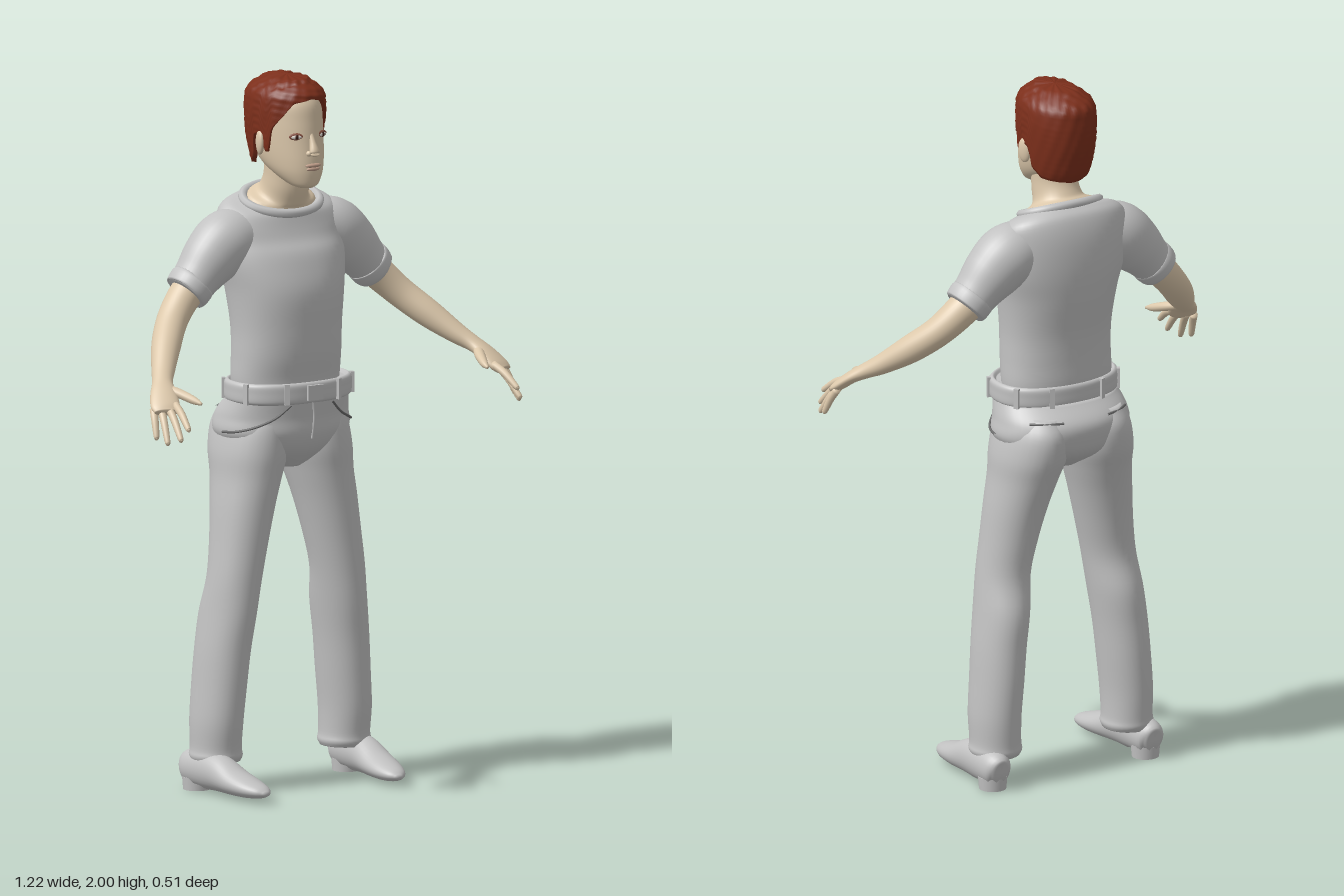
import * as THREE from 'three';

const V = (x, y, z) => new THREE.Vector3(x, y, z);
const paint = (name, color) => {
  const m = new THREE.MeshStandardMaterial({ color });
  m.name = name;
  return m;
};

// Closed-ring surface: f(i, angle) gives the vertex of row i
function grid(rows, cols, f) {
  const pos = [], idx = [];
  for (let i = 0; i <= rows; i++)
    for (let j = 0; j < cols; j++) {
      const p = f(i, (j / cols) * Math.PI * 2);
      pos.push(p.x, p.y, p.z);
      if (i === rows) continue;
      const a = i * cols + j, b = i * cols + (j + 1) % cols;
      idx.push(a, b, a + cols, b, b + cols, a + cols);
    }
  const g = new THREE.BufferGeometry();
  g.setAttribute('position', new THREE.Float32BufferAttribute(pos, 3));
  g.setIndex(idx);
  g.computeVertexNormals();
  return g;
}

const curve = (list) => new THREE.CatmullRomCurve3(list, false, 'catmullrom', 0.5);

// Horizontal sections [y, centre x, centre z, radius x, radius z], bottom to top
function sections(list, power = 2) {
  const c = curve(list.map((s) => V(s[1], s[0], s[2])));
  const r = curve(list.map((s) => V(s[3], s[4], 0)));
  const e = (t) => Math.sign(t) * Math.abs(t) ** (2 / power);
  return (u, a, k = 1) => {
    const p = c.getPoint(u), q = r.getPoint(u);
    return V(p.x + k * q.x * e(Math.sin(a)), p.y, p.z + k * q.y * e(Math.cos(a)));
  };
}

// Limb sections [x, y, z, width radius, height radius] along a path
function limb(list) {
  const c = curve(list.map((s) => V(s[0], s[1], s[2])));
  const r = curve(list.map((s) => V(s[3], s[4], 0)));
  return (u, a, k = 1) => {
    const t = c.getTangent(u), q = r.getPoint(u);
    const n = V(0, 1, 0).cross(t).normalize(), b = t.clone().cross(n);
    return c.getPoint(u).addScaledVector(n, k * q.x * Math.cos(a)).addScaledVector(b, k * q.y * Math.sin(a));
  };
}

// Capped skin over a section function
function skinOver(surf, n = 32, cols = 32, deform = (p) => p) {
  return grid(n + 2, cols, (i, a) =>
    deform(surf(Math.min(Math.max((i - 1) / n, 0), 1), a, i === 0 || i === n + 2 ? 0 : 1)));
}

// The neckline dips towards the front
const dip = (p) => {
  p.y -= THREE.MathUtils.smoothstep(p.y, 1.5, 1.62) * (p.z + 0.1) * 0.4;
  return p;
};

export function createModel() {
  const model = new THREE.Group();
  model.name = 'standingPerson';
  const cloth = paint('grey cloth', 0xc2c2c2), seamMat = paint('seam grey', 0x6c6c6c);
  const skin = paint('skin', 0xdcc8ab), hairMat = paint('red brown hair', 0x7c2f1b);
  const lidMat = paint('eyelid brown', 0x8a5444), white = paint('eye white', 0xe6e0d8);
  const iris = paint('iris', 0x3a1a14), lipMat = paint('lips', 0xbd9c88);

  const add = (name, geo, mat) => {
    const m = new THREE.Mesh(geo, mat);
    m.name = name;
    model.add(m);
  };
  const pair = (name, geo, mat) => {
    add(name + 'Left', geo, mat);
    const g = geo.clone().scale(-1, 1, 1), ix = g.index;
    for (let i = 0; i < ix.count; i += 3) {
      const t = ix.getX(i);
      ix.setX(i, ix.getX(i + 1));
      ix.setX(i + 1, t);
    }
    add(name + 'Right', g, mat);
  };
  const blob = (x, y, z, rx, ry, rz, ry0 = 0) =>
    new THREE.SphereGeometry(1, 20, 14).scale(rx, ry, rz).rotateY(ry0).translate(x, y, z);
  const tube = (pts, r, closed = false) =>
    new THREE.TubeGeometry(new THREE.CatmullRomCurve3(pts, closed), closed ? 64 : 16, r, 8, closed);

  // Shirt
  add('shirtBody', skinOver(sections([
    [1.1, 0, -0.075, 0.155, 0.105], [1.15, 0, -0.08, 0.163, 0.11], [1.22, 0, -0.075, 0.162, 0.118],
    [1.3, 0, -0.075, 0.162, 0.125], [1.4, 0, -0.083, 0.172, 0.137], [1.48, 0, -0.098, 0.188, 0.132],
    [1.55, 0, -0.112, 0.192, 0.117], [1.6, 0, -0.112, 0.19, 0.1], [1.63, 0, -0.106, 0.165, 0.083],
    [1.645, 0, -0.1, 0.122, 0.072]], 2.2), 48, 48, dip), cloth);
  const collar = [];
  for (let i = 0; i < 16; i++) {
    const a = (i / 16) * Math.PI * 2;
    collar.push(dip(V(0.118 * Math.sin(a), 1.645, -0.1 + 0.076 * Math.cos(a))));
  }
  add('collar', tube(collar, 0.013, true), cloth);
  pair('sleeve', skinOver(limb([
    [0.11, 1.555, -0.112, 0.075, 0.075], [0.175, 1.54, -0.112, 0.085, 0.088], [0.23, 1.497, -0.11, 0.078, 0.082],
    [0.275, 1.452, -0.108, 0.068, 0.067], [0.312, 1.412, -0.106, 0.063, 0.059]])), cloth);
  pair('sleeveCuff', skinOver(limb([
    [0.29, 1.438, -0.107, 0.064, 0.061], [0.294, 1.434, -0.107, 0.069, 0.065],
    [0.311, 1.414, -0.106, 0.067, 0.063], [0.316, 1.409, -0.106, 0.06, 0.056]]), 10), cloth);

  // Trousers
  const pelvis = sections([
    [0.9, 0, -0.09, 0.04, 0.06], [0.95, 0, -0.1, 0.15, 0.122], [1.0, 0, -0.1, 0.2, 0.146],
    [1.05, 0, -0.098, 0.196, 0.148], [1.1, 0, -0.07, 0.182, 0.128]], 2.15);
  add('trouserSeat', skinOver(pelvis, 32, 48), cloth);
  pair('trouserLeg', skinOver(sections([
    [0.085, 0.215, -0.105, 0.067, 0.071], [0.1, 0.215, -0.105, 0.073, 0.079], [0.125, 0.215, -0.105, 0.069, 0.079],
    [0.2, 0.215, -0.102, 0.07, 0.086], [0.3, 0.207, -0.1, 0.071, 0.09], [0.4, 0.198, -0.096, 0.072, 0.092],
    [0.5, 0.185, -0.09, 0.073, 0.095], [0.6, 0.172, -0.077, 0.074, 0.085], [0.7, 0.155, -0.08, 0.079, 0.09],
    [0.8, 0.137, -0.088, 0.086, 0.102], [0.88, 0.12, -0.097, 0.092, 0.117], [0.95, 0.108, -0.105, 0.099, 0.134],
    [1.02, 0.1, -0.108, 0.09, 0.138], [1.07, 0.095, -0.1, 0.07, 0.12]]), 64), cloth);

  // Pocket and fly seams, given as [height, angle] on the seat
  const seam = (pts) => tube(pts.map(([y, a]) => pelvis((y - 0.9) / 0.2, a, 1.014)), 0.0035);
  pair('frontPocketSeam', seam([[1.09, 0.35], [1.055, 0.55], [1.03, 0.85], [1.015, 1.2], [1.01, 1.5]]), seamMat);
  pair('backPocketSeam', seam([[1.06, 2.25], [1.06, 2.5], [1.06, 2.8]]), seamMat);
  add('flySeam', seam([[1.095, 0], [1.05, 0.03], [0.99, 0.02]]), cloth);

  // Belt with loops and buckle
  const belt = sections([
    [1.092, 0, -0.066, 0.176, 0.122], [1.1, 0, -0.066, 0.186, 0.13], [1.125, 0, -0.066, 0.187, 0.131],
    [1.145, 0, -0.066, 0.186, 0.13], [1.152, 0, -0.066, 0.176, 0.122], [1.142, 0, -0.066, 0.166, 0.114]], 2.3);
  add('belt', skinOver(belt, 25, 56), cloth);
  for (const a of [0.42, 1.2, 2.1, 2.75])
    pair('beltLoop', new THREE.BoxGeometry(0.014, 0.058, 0.01).rotateY(a)
      .translate(...belt(0.4, a, 1.01).setY(1.123).toArray()), cloth);
  add('beltBuckle', new THREE.BoxGeometry(0.05, 0.042, 0.012).translate(0, 1.123, 0.066), cloth);

  // Shoes
  pair('shoe', skinOver(limb([
    [0.25, 0.055, -0.192, 0.022, 0.032], [0.25, 0.06, -0.17, 0.042, 0.05], [0.247, 0.062, -0.1, 0.045, 0.055],
    [0.243, 0.06, -0.04, 0.047, 0.052], [0.237, 0.045, 0.03, 0.05, 0.037], [0.23, 0.036, 0.09, 0.045, 0.027],
    [0.224, 0.031, 0.135, 0.03, 0.017], [0.222, 0.028, 0.157, 0.01, 0.006]]), 32, 32,
  (p) => p.setY(Math.max(p.y, p.z < -0.1 ? 0.02 : 0.01))), cloth);
  pair('shoeHeel', new THREE.CylinderGeometry(0.041, 0.038, 0.036, 24).translate(0.25, 0.018, -0.147), cloth);

  // Arms and hands
  pair('arm', skinOver(limb([
    [0.27, 1.45, -0.108, 0.05, 0.05], [0.33, 1.395, -0.1, 0.047, 0.046], [0.385, 1.34, -0.073, 0.044, 0.042],
    [0.44, 1.285, -0.02, 0.041, 0.039], [0.49, 1.235, 0.04, 0.033, 0.029], [0.52, 1.208, 0.08, 0.029, 0.022],
    [0.54, 1.185, 0.115, 0.037, 0.018], [0.557, 1.157, 0.148, 0.041, 0.016], [0.565, 1.142, 0.166, 0.033, 0.011]]), 48), skin);
  const tips = [[0.55, 1.108, 0.25], [0.567, 1.08, 0.238], [0.588, 1.068, 0.205], [0.6, 1.078, 0.168]];
  tips.forEach(([x, y, z], i) => {
    const bx = 0.533 + i * 0.017, by = 1.16 - i * 0.004, bz = 0.163 - i * 0.011;
    pair('finger' + (i + 1), skinOver(limb([
      [bx, by, bz, 0.011, 0.011], [(bx + x) / 2, (by + y) / 2 + 0.006, (bz + z) / 2, 0.0105, 0.0105],
      [x, y, z, 0.008, 0.008], [x + (x - bx) * 0.08, y + (y - by) * 0.08, z + (z - bz) * 0.08, 0.003, 0.003]]), 14, 12), skin);
  });
  pair('thumb', skinOver(limb([
    [0.525, 1.198, 0.095, 0.014, 0.012], [0.503, 1.185, 0.14, 0.015, 0.013],
    [0.486, 1.171, 0.185, 0.011, 0.011], [0.479, 1.164, 0.212, 0.004, 0.004]]), 16, 14), skin);

  // Neck and head
  add('neck', skinOver(sections([
    [1.6, 0, -0.1, 0.112, 0.073], [1.65, 0, -0.1, 0.105, 0.07], [1.672, 0, -0.088, 0.072, 0.066],
    [1.72, 0, -0.072, 0.064, 0.064], [1.78, 0, -0.07, 0.064, 0.068]]), 24, 32, dip), skin);
  add('head', skinOver(sections([
    [1.695, 0, 0.018, 0.022, 0.025], [1.705, 0, 0.008, 0.042, 0.046], [1.735, 0, -0.025, 0.066, 0.085],
    [1.77, 0, -0.052, 0.08, 0.112], [1.82, 0, -0.07, 0.088, 0.125], [1.88, 0, -0.078, 0.09, 0.127],
    [1.93, 0, -0.08, 0.086, 0.12], [1.965, 0, -0.08, 0.066, 0.09], [1.985, 0, -0.08, 0.03, 0.04]]), 48, 48), skin);
  pair('ear', blob(0.094, 1.818, -0.065, 0.011, 0.036, 0.021, 0.3), skin);

  // Face
  add('nose', skinOver(limb([
    [0, 1.855, 0.04, 0.008, 0.008], [0, 1.825, 0.055, 0.009, 0.01],
    [0, 1.798, 0.066, 0.015, 0.011], [0, 1.788, 0.064, 0.009, 0.005]]), 16, 16), skin);
  pair('nostril', blob(0.013, 1.795, 0.056, 0.008, 0.008, 0.009), skin);
  pair('eyelid', blob(0.043, 1.843, 0.038, 0.021, 0.01, 0.0045, 0.38), lidMat);
  pair('eyeWhite', blob(0.0435, 1.842, 0.0395, 0.016, 0.0065, 0.0045, 0.38), white);
  pair('iris', blob(0.0435, 1.842, 0.0415, 0.0065, 0.0065, 0.0035, 0.38), iris);
  add('upperLip', blob(0, 1.761, 0.059, 0.026, 0.006, 0.008), lipMat);
  add('lowerLip', blob(0, 1.751, 0.058, 0.022, 0.006, 0.008), lipMat);

  // Hair: a tousled shell down to a hairline that clears face and ears
  const hair = sections([
    [1.72, 0, -0.07, 0.08, 0.09], [1.76, 0, -0.07, 0.09, 0.115], [1.8, 0, -0.075, 0.096, 0.122],
    [1.84, 0, -0.078, 0.099, 0.128], [1.88, 0, -0.08, 0.101, 0.13], [1.92, 0, -0.08, 0.1, 0.13],
    [1.96, 0, -0.078, 0.09, 0.124], [1.995, 0, -0.072, 0.045, 0.075]], 2.15);
  const line = [[0, 1.945], [0.5, 1.935], [0.8, 1.895], [1.1, 1.86], [1.22, 1.795], [1.34, 1.795],
    [1.45, 1.845], [1.65, 1.835], [1.78, 1.775], [2.1, 1.75], [3.2, 1.735]];
  const hairline = (a) => {
    const t = Math.min(a, Math.PI * 2 - a), i = line.findIndex((p) => p[0] > t);
    const [a0, y0] = line[i - 1], [a1, y1] = line[i];
    return y0 + (y1 - y0) * (t - a0) / (a1 - a0);
  };
  const rows = 30;
  add('hair', grid(rows, 96, (i, a) => {
    const u0 = (hairline(a) - 1.72) / 0.28;
    const u = u0 + (1 - u0) * Math.min(Math.max(i - 1, 0) / (rows - 2), 1);
    const tuft = 1 + 0.014 * Math.sin(11 * a + 37 * u) * Math.sin(7 * a - 53 * u);
    const p = hair(u, a, i === 0 ? 0.88 : i === rows ? 0 : tuft);
    if (i > rows - 8) p.y += 0.003 * Math.sin(p.x * 190) * Math.sin(p.z * 150);
    if (i === rows) p.y = 2;
    return p;
  }), hairMat);

  return model;
}
